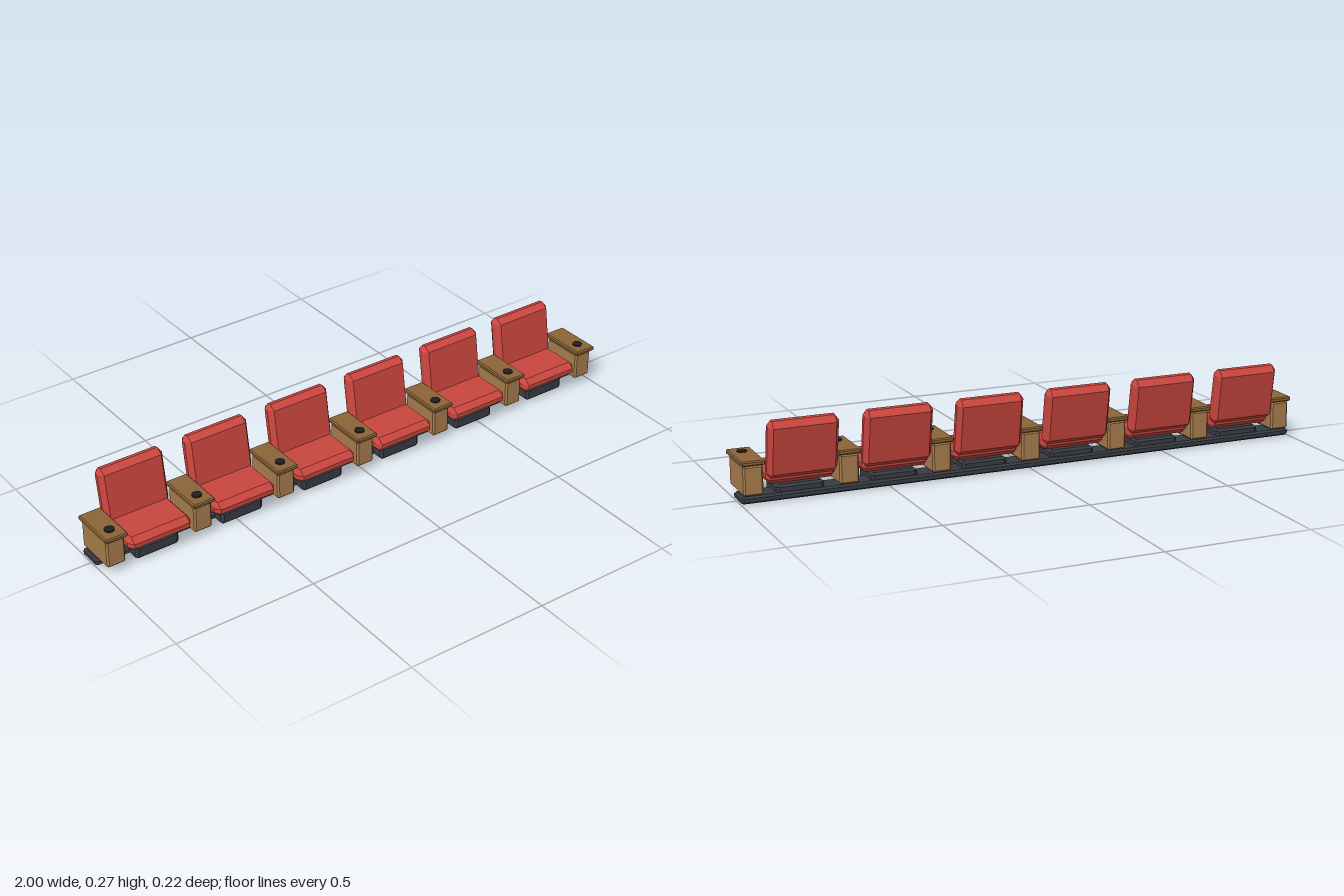
import * as THREE from 'three';
import { ConvexGeometry } from 'three/addons/geometries/ConvexGeometry.js';

const material = (color) => new THREE.MeshStandardMaterial({ color, flatShading: true });

// Box with bevelled edges; size and bevel are [x, y, z]
function bevelBox([w, h, d], [bx, by, bz]) {
  const points = [];
  for (const x of [-1, 1]) for (const y of [-1, 1]) for (const z of [-1, 1]) {
    const X = w / 2, Y = h / 2, Z = d / 2;
    points.push(
      new THREE.Vector3(x * X, y * (Y - by), z * (Z - bz)),
      new THREE.Vector3(x * (X - bx), y * Y, z * (Z - bz)),
      new THREE.Vector3(x * (X - bx), y * (Y - by), z * Z)
    );
  }
  return new ConvexGeometry(points);
}

export function createModel() {
  const model = new THREE.Group();
  model.name = 'seatRow';

  const red = material(0xcb463f);
  const wood = material(0xa87c4d);
  const darkWood = material(0x8c6539);
  const metal = material(0x383c42);
  const black = material(0x1e1f25);

  const add = (parent, name, geometry, mat, x, y, z) => {
    const mesh = new THREE.Mesh(geometry, mat);
    mesh.name = name;
    mesh.position.set(x, y, z);
    parent.add(mesh);
    return mesh;
  };

  // Floor rail along the whole row
  add(model, 'floorRail', bevelBox([2, 0.024, 0.088], [0.008, 0.006, 0.008]), metal, 0, 0.014, -0.011);

  const cushionGeo = bevelBox([0.23, 0.05, 0.17], [0.014, 0.017, 0.021]);
  const backGeo = bevelBox([0.236, 0.196, 0.055], [0.014, 0.019, 0.02]);
  const footGeo = bevelBox([0.16, 0.048, 0.118], [0.01, 0.008, 0.008]);
  const bodyGeo = bevelBox([0.066, 0.1, 0.154], [0.006, 0.006, 0.006]);
  const topGeo = bevelBox([0.08, 0.016, 0.172], [0.004, 0.004, 0.004]);
  const cupGeo = new THREE.CylinderGeometry(0.017, 0.017, 0.012, 12);

  // Six seats: foot, cushion and reclined back
  for (let i = 0; i < 6; i++) {
    const seat = new THREE.Group();
    seat.name = 'seat';
    seat.position.x = (i - 2.5) * 0.32;
    add(seat, 'foot', footGeo, metal, 0, 0.025, 0.016);
    add(seat, 'cushion', cushionGeo, red, 0, 0.082, 0.023);
    add(seat, 'backrest', backGeo, red, 0, 0.178, -0.068).rotation.x = -0.155;
    model.add(seat);
  }

  // Seven armrests between and beside the seats
  for (let i = 0; i < 7; i++) {
    const arm = new THREE.Group();
    arm.name = 'armrest';
    arm.position.x = (i - 3) * 0.32;
    add(arm, 'armBody', bodyGeo, wood, 0, 0.079, 0.017);
    add(arm, 'armTop', topGeo, darkWood, 0, 0.137, 0.02);
    add(arm, 'cupHolder', cupGeo, black, 0, 0.143, 0.059);
    model.add(arm);
  }

  return model;
}
